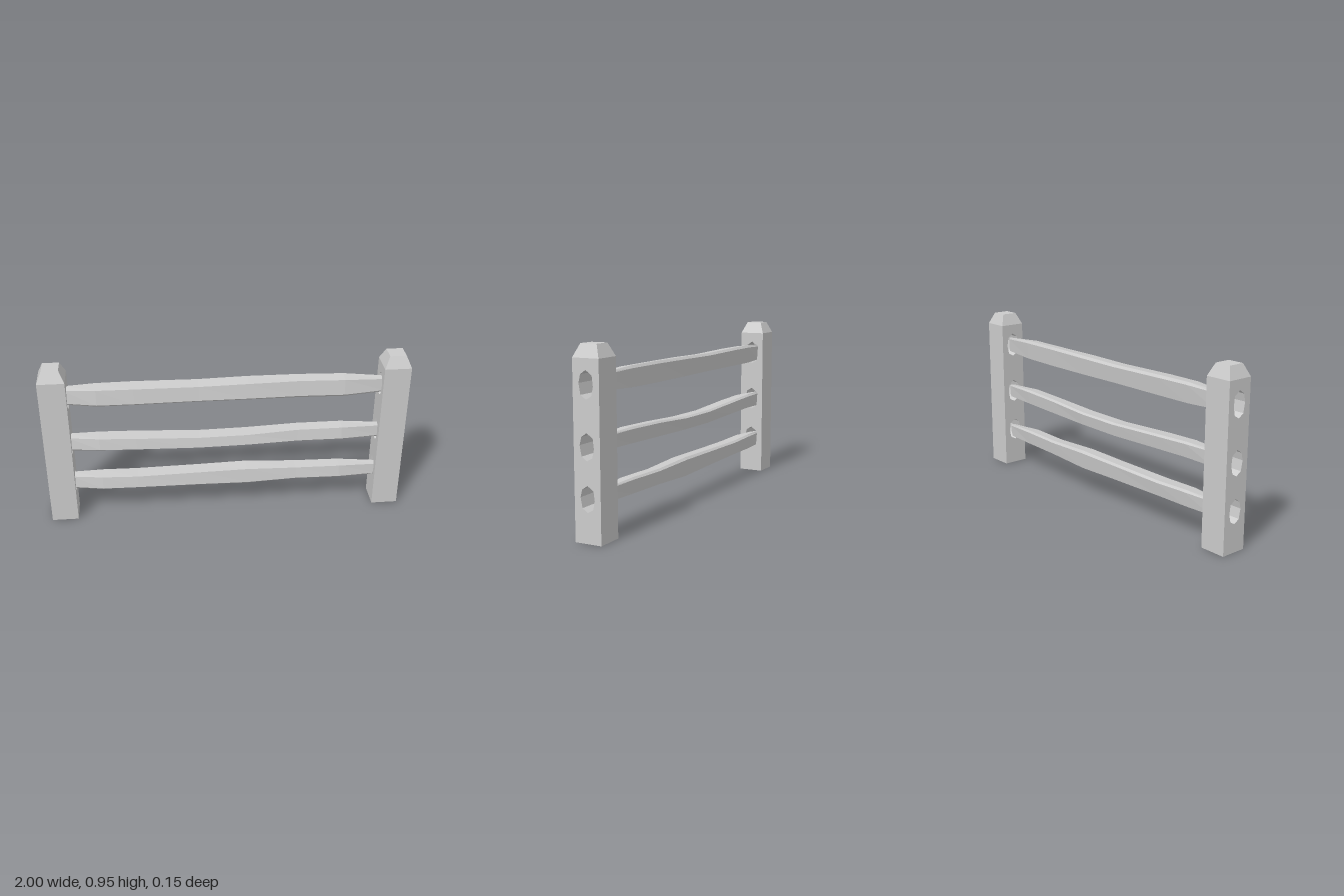
import * as THREE from 'three';

const grey = () => new THREE.MeshStandardMaterial({ color: 0xcccccc, flatShading: true, side: THREE.DoubleSide });
const POST = 0.147, SHOULDER = 0.885, HEIGHT = 0.95;

// Eight-sided mortise outline: [z, y] as fractions of half width and half height
const MORTISE = [[0, 1], [0.75, 0.7], [1, 0.1], [0.75, -0.7], [0, -1], [-0.75, -0.75], [-1, -0.1], [-0.85, 0.65]];
const MORTISE_Y = [[0.218, 0.065], [0.468, 0.067], [0.761, 0.069]];

// Hewn rail section: [z, y] fractions, ordered from the back top edge over the front
const SECTION = [[-0.75, 1], [0.8, 0.84], [1, -0.75], [0.7, -1], [-0.8, -1], [-1, 0.75]];

// Rail depth along its length: [x, back z, front z]
const DEPTH = [[-0.87, -0.04, 0.012], [-0.7, -0.05, 0.042], [-0.5, -0.054, 0.046], [-0.15, -0.054, 0.042],
  [0.12, -0.056, 0.042], [0.4, -0.048, 0.036], [0.65, -0.038, 0.044], [0.87, -0.015, 0.024]];

// Rail heights at the same stations: [bottom y, top y]
const RAILS = {
  lowerRail: [[0.17, 0.255], [0.168, 0.257], [0.169, 0.252], [0.164, 0.258], [0.159, 0.264], [0.17, 0.253], [0.172, 0.256], [0.17, 0.245]],
  middleRail: [[0.425, 0.512], [0.43, 0.512], [0.426, 0.505], [0.416, 0.489], [0.42, 0.492], [0.426, 0.508], [0.43, 0.514], [0.43, 0.506]],
  upperRail: [[0.718, 0.812], [0.712, 0.82], [0.713, 0.82], [0.714, 0.815], [0.713, 0.82], [0.711, 0.822], [0.711, 0.82], [0.72, 0.805]],
};

function makeRail(heights) {
  const rings = DEPTH.map(([x, z0, z1], s) => {
    const [y0, y1] = heights[s];
    return SECTION.map(([a, b]) => [x, (y0 + y1) / 2 + b * (y1 - y0) / 2, (z0 + z1) / 2 + a * (z1 - z0) / 2]);
  });
  const n = SECTION.length, pos = [];
  const tri = (a, b, c) => pos.push(...a, ...b, ...c);
  for (let s = 0; s < rings.length - 1; s++) {
    for (let i = 0; i < n; i++) {
      const j = (i + 1) % n;
      tri(rings[s][i], rings[s][j], rings[s + 1][j]);
      tri(rings[s][i], rings[s + 1][j], rings[s + 1][i]);
    }
  }
  // one closed end; the other stays open inside its mortise
  for (let i = 1; i < n - 1; i++) tri(rings[0][0], rings[0][i + 1], rings[0][i]);
  const geo = new THREE.BufferGeometry();
  geo.setAttribute('position', new THREE.Float32BufferAttribute(pos, 3));
  geo.computeVertexNormals();
  return new THREE.Mesh(geo, grey());
}

function makePost() {
  const post = new THREE.Group(), h = POST / 2;
  // square shaft pierced by three mortises running along x
  const shape = new THREE.Shape([[-h, 0], [h, 0], [h, SHOULDER], [-h, SHOULDER]].map(p => new THREE.Vector2(...p)));
  for (const [y, half] of MORTISE_Y) {
    shape.holes.push(new THREE.Path(MORTISE.map(([a, b]) => new THREE.Vector2(-a * 0.04, y + b * half))));
  }
  const shaftGeo = new THREE.ExtrudeGeometry(shape, { depth: POST, bevelEnabled: false });
  shaftGeo.translate(0, 0, -h).rotateY(Math.PI / 2);
  const shaft = new THREE.Mesh(shaftGeo, grey());
  shaft.name = 'postShaft';

  // tapered top
  const capH = HEIGHT - SHOULDER;
  const capGeo = new THREE.CylinderGeometry(0.045 * Math.SQRT2, h * Math.SQRT2, capH, 4);
  capGeo.rotateY(Math.PI / 4).translate(0, SHOULDER + capH / 2, 0);
  const cap = new THREE.Mesh(capGeo, grey());
  cap.name = 'postCap';
  post.add(shaft, cap);
  return post;
}

export function createModel() {
  const fence = new THREE.Group();
  fence.name = 'railFence';
  for (const [name, side] of [['leftPost', 1], ['rightPost', -1]]) {
    const post = makePost();
    post.name = name;
    post.position.x = side * (1 - POST / 2);
    fence.add(post);
  }
  for (const [name, heights] of Object.entries(RAILS)) {
    const rail = makeRail(heights);
    rail.name = name;
    fence.add(rail);
  }
  return fence;
}
